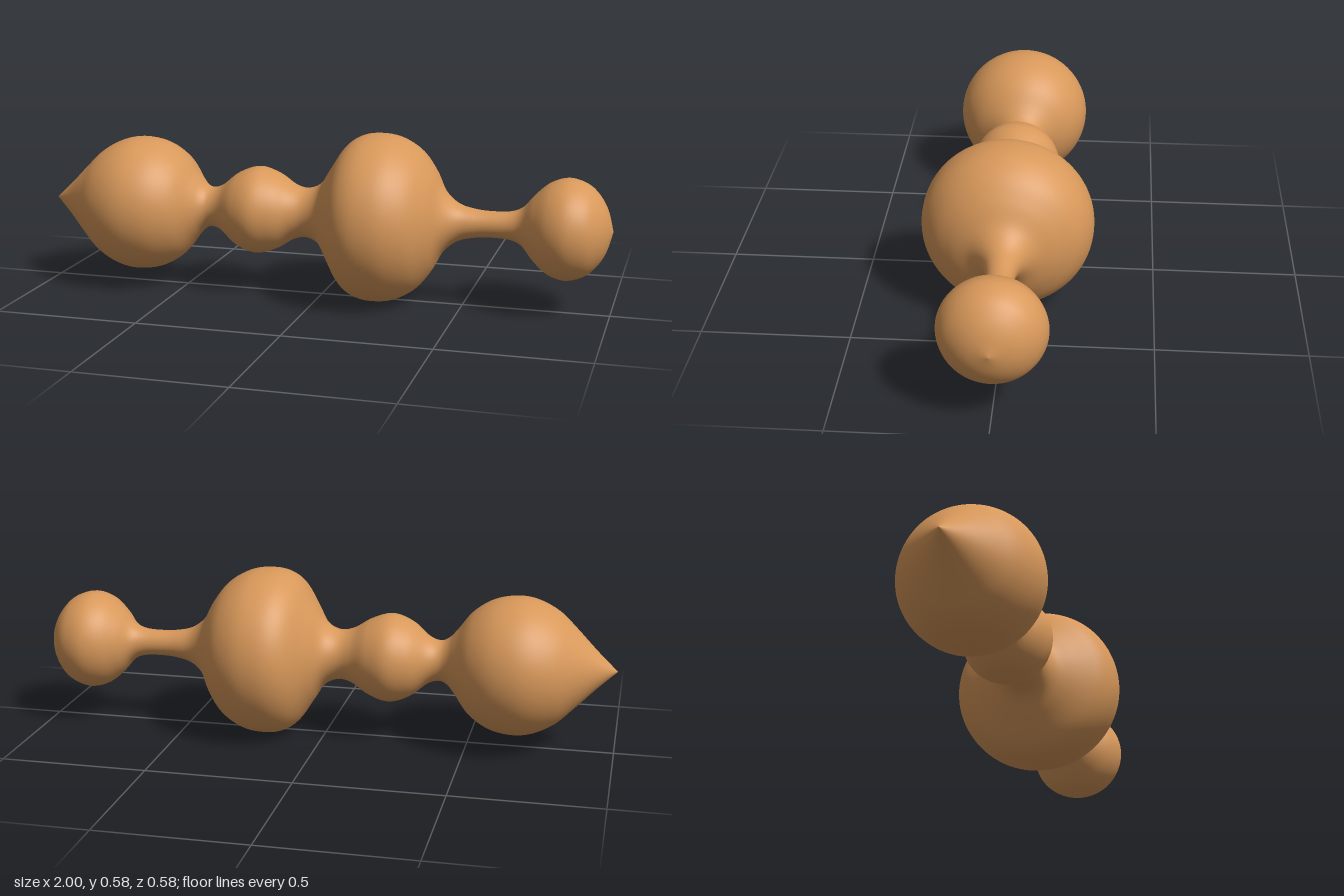
import * as THREE from 'three';

export function createModel() {
  const group = new THREE.Group();
  group.name = 'turnedSpindle';

  // Profile along the axis: [position, radius], from pointed tip to round knob
  const profile = [
    [-1, 0], [-0.93, 0.065], [-0.86, 0.135], [-0.8, 0.19], [-0.73, 0.226], [-0.66, 0.237],
    [-0.58, 0.222], [-0.51, 0.178], [-0.46, 0.115], [-0.43, 0.082], [-0.4, 0.07],
    [-0.36, 0.083], [-0.3, 0.13], [-0.23, 0.153], [-0.16, 0.133], [-0.1, 0.097], [-0.05, 0.087],
    [0, 0.11], [0.04, 0.17], [0.09, 0.245], [0.14, 0.28], [0.2, 0.29],
    [0.27, 0.28], [0.34, 0.24], [0.39, 0.178], [0.43, 0.107], [0.48, 0.065], [0.54, 0.049],
    [0.6, 0.045], [0.66, 0.049], [0.7, 0.067], [0.74, 0.113], [0.79, 0.155],
    [0.85, 0.172], [0.91, 0.155], [0.95, 0.12], [0.98, 0.07], [1, 0],
  ].map(([x, r]) => new THREE.Vector2(r, x));

  // Smooth the profile and turn it around the axis
  const points = new THREE.SplineCurve(profile).getPoints(222);
  points.forEach((p) => { p.x = Math.max(0, p.x); });
  const geometry = new THREE.LatheGeometry(points, 96);
  geometry.rotateZ(-Math.PI / 2);

  const spindle = new THREE.Mesh(geometry, new THREE.MeshStandardMaterial({ color: 0xd8985a }));
  spindle.name = 'spindle';
  spindle.position.y = 0.29;
  group.add(spindle);
  return group;
}
